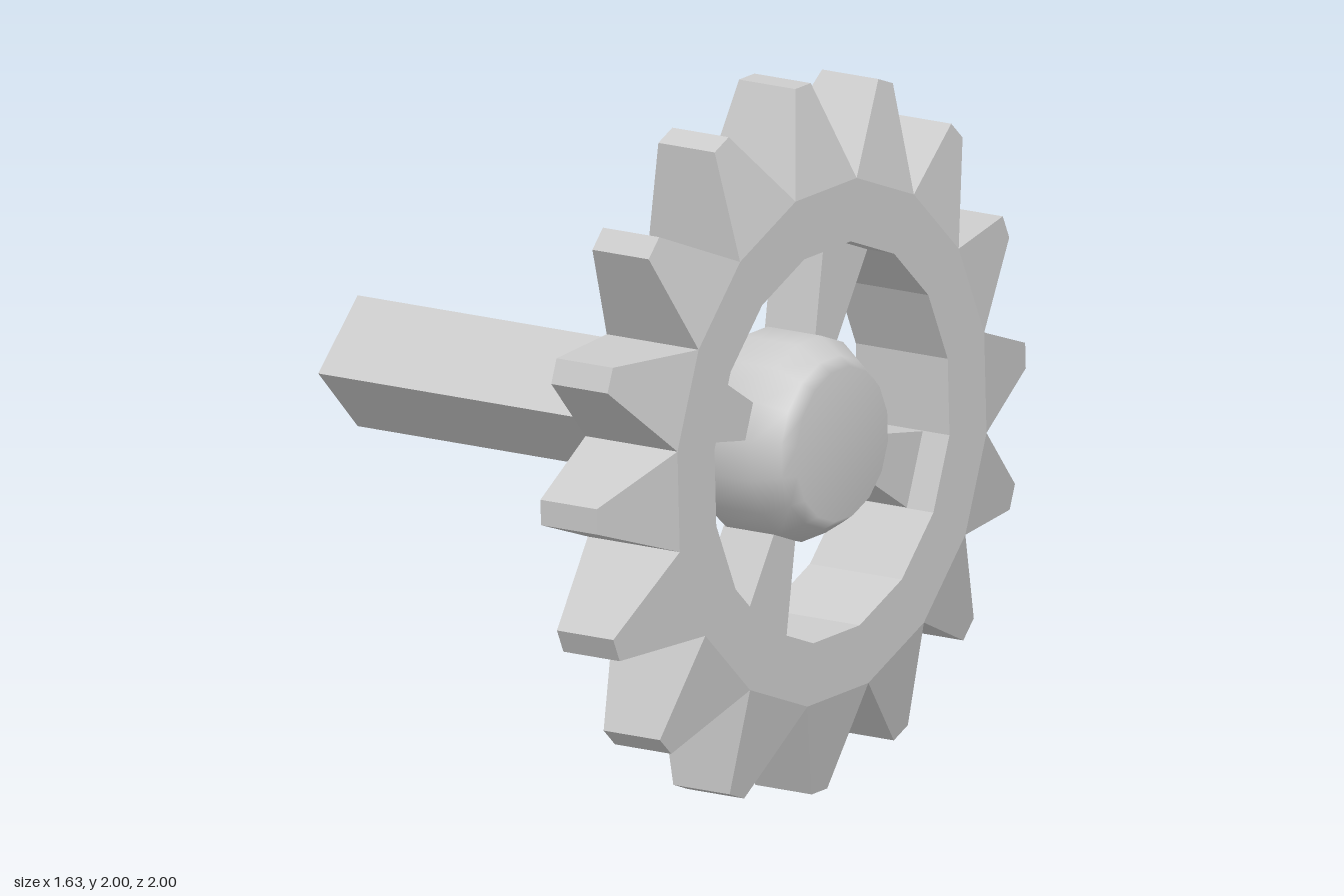
import * as THREE from 'three';

const TEETH = 16;
const STEP = (Math.PI * 2) / TEETH;
const TOOTH0 = THREE.MathUtils.degToRad(2.2);
const VALLEY = 0.73;

// Surface of revolution about the x axis; profile is [x, radius]
function turned(profile, material, name) {
  const g = new THREE.LatheGeometry(
    profile.map(([x, r]) => new THREE.Vector2(r, x)), TEETH, TOOTH0 + STEP / 2);
  g.rotateZ(-Math.PI / 2);
  const mesh = new THREE.Mesh(g, material);
  mesh.name = name;
  return mesh;
}

// Block reaching outwards (y) from an inner to an outer end;
// each end is {r, back, front, w}: radius, x limits and half width
function radialBlock(inner, outer) {
  const g = new THREE.BoxGeometry(1, 1, 1);
  const p = g.attributes.position;
  for (let i = 0; i < p.count; i++) {
    const end = p.getY(i) > 0 ? outer : inner;
    p.setXYZ(i, p.getX(i) > 0 ? end.front : end.back, end.r, Math.sign(p.getZ(i)) * end.w);
  }
  g.computeVertexNormals();
  return g;
}

export function createModel() {
  const model = new THREE.Group();
  model.name = 'gearOnShaft';
  const flat = new THREE.MeshStandardMaterial({ color: 0xcccccc, flatShading: true });
  const smooth = new THREE.MeshStandardMaterial({ color: 0xcccccc });
  const open = new THREE.MeshStandardMaterial({
    color: 0xcccccc, flatShading: true, side: THREE.DoubleSide });

  const wheel = new THREE.Group();
  wheel.name = 'wheel';
  wheel.position.y = 1;
  model.add(wheel);

  // Rim: outer face and inner wall, hollow from behind
  wheel.add(turned([[0.78, VALLEY], [0.78, 0.555], [0.47, 0.555]], open, 'rim'));

  // Hub with bevelled ends
  wheel.add(turned([
    [0.41, 0], [0.41, 0.215], [0.47, 0.25], [0.53, 0.285], [0.71, 0.285],
    [0.78, 0.24], [0.815, 0.215], [0.815, 0],
  ], smooth, 'hub'));

  // Teeth: shells without a back or a base
  const toothShape = radialBlock(
    { r: VALLEY * Math.cos(STEP / 2), back: 0.47, front: 0.78, w: VALLEY * Math.sin(STEP / 2) },
    { r: 1, back: 0.52, front: 0.71, w: 0.036 });
  const faces = Array.from(toothShape.index.array);
  toothShape.setIndex([...faces.slice(0, 6), ...faces.slice(12, 18), ...faces.slice(24)]);
  toothShape.clearGroups();
  for (let i = 0; i < TEETH; i++) {
    const tooth = new THREE.Mesh(toothShape, open);
    tooth.name = 'tooth';
    tooth.rotation.x = TOOTH0 + i * STEP;
    wheel.add(tooth);
  }

  // Four spokes flaring towards the rim
  const spokeShape = radialBlock(
    { r: 0.24, back: 0.52, front: 0.69, w: 0.045 },
    { r: 0.55, back: 0.52, front: 0.69, w: 0.108 });
  for (let i = 0; i < 4; i++) {
    const spoke = new THREE.Mesh(spokeShape, flat);
    spoke.name = 'spoke';
    spoke.rotation.x = TOOTH0 - STEP + (i * Math.PI) / 2;
    wheel.add(spoke);
  }

  // Square shaft set on its corner, open at the far end
  const shaftShape = new THREE.CylinderGeometry(0.184, 0.184, 1.23, 4, 1, true);
  shaftShape.rotateZ(-Math.PI / 2);
  const shaft = new THREE.Mesh(shaftShape, open);
  shaft.name = 'shaft';
  shaft.position.set(-0.205, 0.003, 0);
  wheel.add(shaft);

  return model;
}
